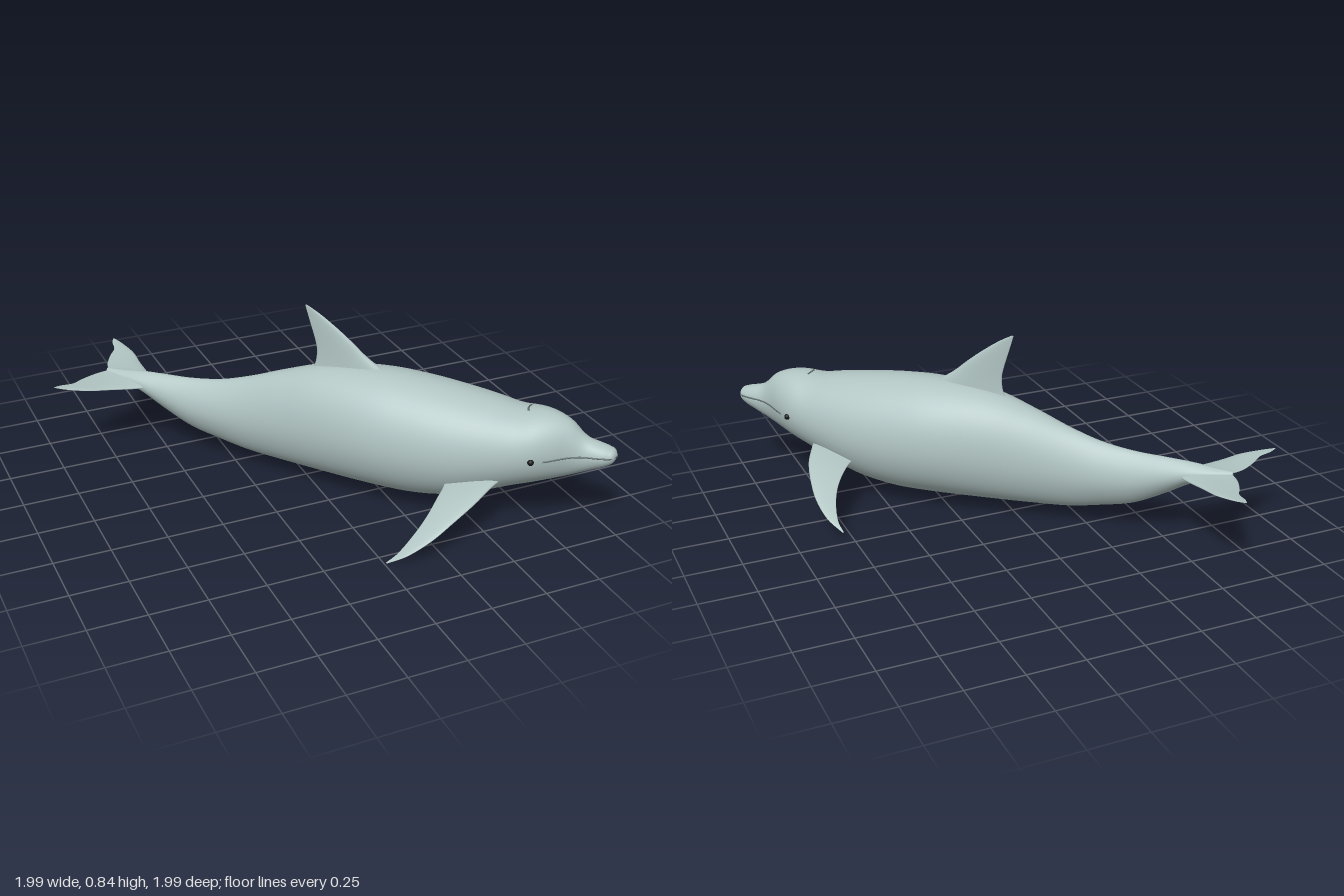
import * as THREE from 'three';

const skin = new THREE.MeshStandardMaterial({ color: 0xb0c4c2 });
const dark = new THREE.MeshStandardMaterial({ color: 0x151818 });
const crease = new THREE.MeshStandardMaterial({ color: 0x5c6968 });
const V = (x, y, z) => new THREE.Vector3(x, y, z);

// Body stations from tail to snout: z, half width, top y, bottom y
const stations = [
  [-1.0, 0.012, 0.37, 0.345], [-0.92, 0.03, 0.375, 0.325], [-0.82, 0.048, 0.385, 0.285],
  [-0.7, 0.058, 0.39, 0.215], [-0.57, 0.068, 0.395, 0.15], [-0.42, 0.082, 0.415, 0.112],
  [-0.28, 0.1, 0.455, 0.085], [-0.1, 0.137, 0.52, 0.073], [0.08, 0.178, 0.575, 0.067],
  [0.35, 0.228, 0.605, 0.06], [0.55, 0.235, 0.597, 0.062], [0.72, 0.225, 0.578, 0.09],
  [0.85, 0.203, 0.56, 0.135], [0.96, 0.177, 0.542, 0.18], [1.06, 0.15, 0.546, 0.215],
  [1.13, 0.116, 0.535, 0.24], [1.19, 0.08, 0.508, 0.262], [1.235, 0.063, 0.466, 0.283],
  [1.26, 0.059, 0.449, 0.295], [1.3, 0.056, 0.437, 0.315], [1.35, 0.045, 0.424, 0.34],
  [1.375, 0.029, 0.411, 0.362], [1.385, 0.002, 0.392, 0.386],
];
const profile = new THREE.CubicInterpolant(
  stations.map(s => s[0]), stations.flatMap(s => s.slice(1)), 3);

function section(z) {
  const [w, top, bottom] = profile.evaluate(z);
  return { w: Math.max(w, 0.002), mid: (top + bottom) / 2, h: Math.max((top - bottom) / 2, 0.002) };
}

// Point on the skin at station z; the tail stock is pinched to a ridge
function skinPoint(z, angle) {
  const { w, mid, h } = section(z);
  const c = Math.cos(angle), s = Math.sin(angle);
  const pinch = 0.35 * (1 - THREE.MathUtils.smoothstep(z, -0.6, 0.1));
  return V(w * c * (1 - pinch * s * s), mid + h * s, z);
}

// Point on the flank at a given height
function flankPoint(z, y, side) {
  const { mid, h } = section(z);
  const p = skinPoint(z, Math.asin(THREE.MathUtils.clamp((y - mid) / h, -1, 1)));
  p.x *= side;
  return p;
}

// Skin over a row of closed rings, with both ends capped
function loft(rings) {
  const n = rings[0].length, pos = [], index = [];
  rings.forEach(r => r.forEach(p => pos.push(p.x, p.y, p.z)));
  for (let i = 0; i < rings.length - 1; i++) {
    for (let j = 0; j < n; j++) {
      const k = (j + 1) % n, a = i * n + j, b = i * n + k;
      index.push(a, b, b + n, a, b + n, a + n);
    }
  }
  const last = (rings.length - 1) * n;
  for (let j = 1; j < n - 1; j++) {
    index.push(0, j + 1, j, last, last + j, last + j + 1);
  }
  const g = new THREE.BufferGeometry();
  g.setAttribute('position', new THREE.Float32BufferAttribute(pos, 3));
  g.setIndex(index);
  g.computeVertexNormals();
  return g;
}

// Blade between a leading and a trailing edge, rounded in front and thin behind
function blade(lead, trail, normal, ratio) {
  const a = new THREE.CatmullRomCurve3(lead), b = new THREE.CatmullRomCurve3(trail);
  const rings = [];
  for (let i = 0; i <= 40; i++) {
    const L = a.getPoint(i / 40), T = b.getPoint(i / 40);
    const mid = L.clone().add(T).multiplyScalar(0.5);
    const half = L.clone().sub(T).multiplyScalar(0.5);
    const thick = L.distanceTo(T) * ratio;
    const ring = [];
    for (let j = 0; j < 28; j++) {
      const f = j / 28 * Math.PI * 2, c = Math.cos(f);
      ring.push(mid.clone().addScaledVector(half, c)
        .addScaledVector(normal, Math.sin(f) * thick * (0.75 + 0.35 * c)));
    }
    rings.push(ring);
  }
  return loft(rings);
}

export function createModel() {
  const model = new THREE.Group();
  model.name = 'dolphin';
  const add = (name, geometry, material = skin) => {
    const m = new THREE.Mesh(geometry, material);
    m.name = name;
    model.add(m);
    return m;
  };

  // Body, head and beak in one smooth skin
  const rings = [];
  for (let i = 0; i <= 150; i++) {
    const z = 0.1925 - 1.1925 * Math.cos(i / 150 * Math.PI);
    rings.push(Array.from({ length: 56 }, (_, j) => skinPoint(z, j / 56 * Math.PI * 2)));
  }
  add('body', loft(rings));

  // Dorsal fin, swept back
  const dorsal = pts => pts.map(([y, z]) => V(0, y, z));
  add('dorsalFin', blade(
    dorsal([[0.54, 0.43], [0.602, 0.35], [0.65, 0.28], [0.71, 0.21], [0.765, 0.14], [0.82, 0.06], [0.852, 0.002]]),
    dorsal([[0.53, 0.02], [0.59, 0.045], [0.65, 0.05], [0.7, 0.04], [0.76, 0.022], [0.82, 0.004], [0.849, -0.004]]),
    V(1, 0, 0), 0.09));

  for (const side of [1, -1]) {
    const tag = side > 0 ? 'left' : 'right';
    const normal = V(0, -side, 0);

    // Pectoral fin; the right one hangs slightly lower
    const droop = side > 0 ? 0 : 0.16;
    const flipper = pts => pts.map(([x, y, z]) => V(side * x, y - droop * x * x, z));
    add(tag + 'Flipper', blade(
      flipper([[0.12, 0.255, 0.94], [0.2, 0.25, 0.91], [0.3, 0.23, 0.872], [0.4, 0.192, 0.81],
        [0.48, 0.145, 0.742], [0.54, 0.095, 0.655], [0.56, 0.058, 0.577]]),
      flipper([[0.12, 0.225, 0.68], [0.2, 0.222, 0.705], [0.29, 0.207, 0.7], [0.38, 0.177, 0.685],
        [0.46, 0.138, 0.655], [0.53, 0.09, 0.61], [0.558, 0.058, 0.57]]),
      normal, 0.085));

    // Tail fluke
    const fluke = pts => pts.map(([x, y, z]) => V(side * x, y, z));
    add(tag + 'Fluke', blade(
      fluke([[0, 0.325, -0.73], [0.065, 0.328, -0.805], [0.15, 0.342, -0.905],
        [0.22, 0.356, -0.98], [0.27, 0.37, -1.07], [0.287, 0.378, -1.117]]),
      fluke([[0, 0.36, -0.995], [0.057, 0.36, -1.032], [0.14, 0.364, -1.06],
        [0.2, 0.368, -1.072], [0.25, 0.374, -1.108], [0.284, 0.378, -1.122]]),
      normal, 0.06));

    // Eye
    const eye = add(tag + 'Eye', new THREE.SphereGeometry(0.014, 20, 14), dark);
    eye.position.copy(flankPoint(1.055, 0.368, side));

    // Mouth line
    const line = [];
    for (let i = 0; i <= 12; i++) {
      const u = i / 12;
      line.push(flankPoint(1.1 + 0.283 * u, 0.367 + 0.021 * u + 0.006 * Math.sin(u * Math.PI), side));
    }
    add(tag + 'MouthLine', new THREE.TubeGeometry(new THREE.CatmullRomCurve3(line), 50, 0.0035, 8), crease);
  }

  // Blowhole slit across the crown
  const slit = [-1, -0.5, 0, 0.5, 1].map(u => skinPoint(1.0 + 0.005 * u * u, Math.PI / 2 - 0.19 * u));
  add('blowhole', new THREE.TubeGeometry(new THREE.CatmullRomCurve3(slit), 20, 0.004, 8), crease);

  // The animal swims diagonally, towards +x and +z
  model.rotation.y = Math.PI / 4;
  const root = new THREE.Group();
  root.name = 'model';
  root.add(model);
  return root;
}
